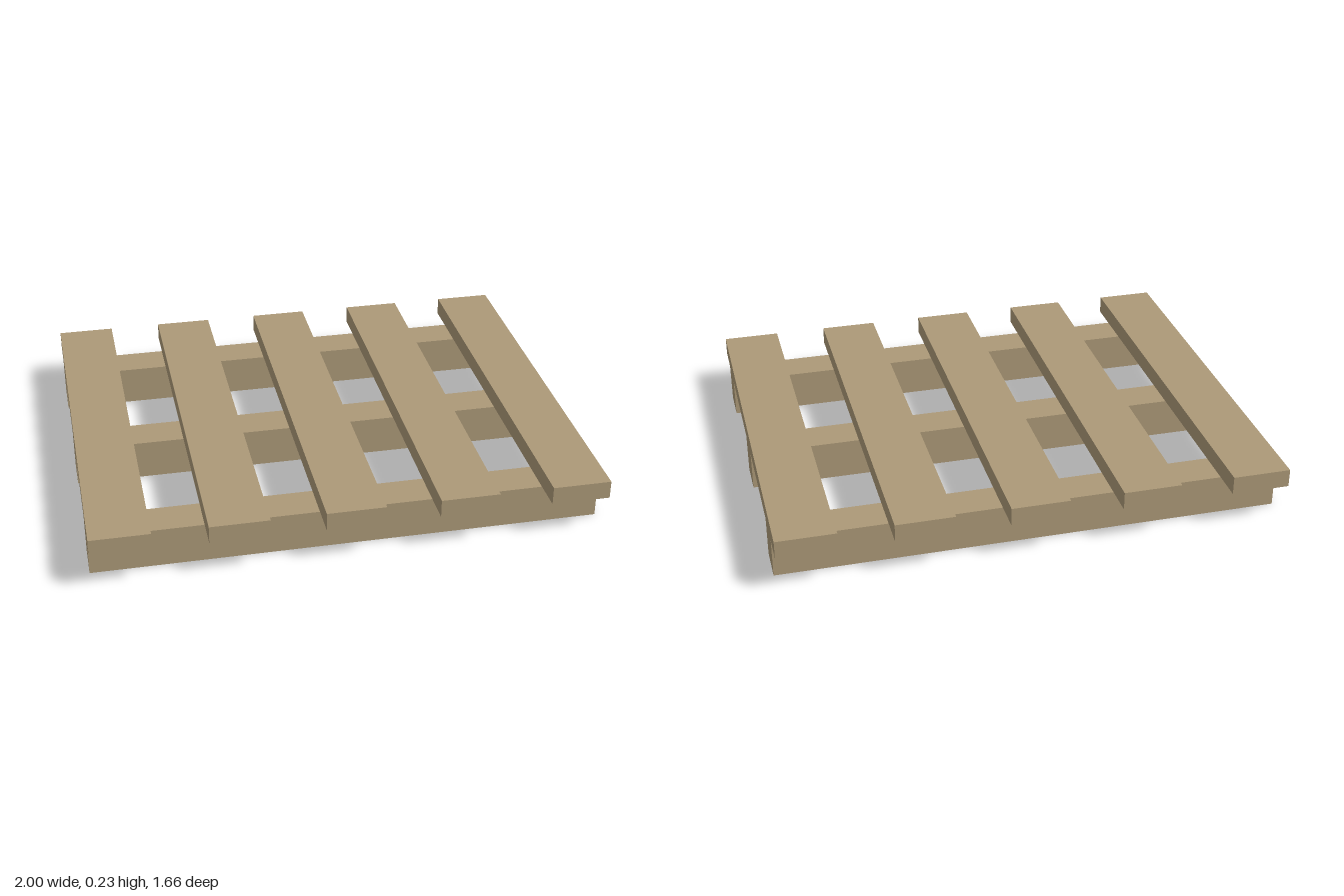
import * as THREE from 'three';

export function createModel() {
  const model = new THREE.Group();
  model.name = 'pallet';
  const wood = new THREE.MeshStandardMaterial({ color: 0xac9978 });
  wood.name = 'wood';

  // A plank given by its size, centre and the height of its underside
  const plank = (name, w, h, d, x, bottom, z) => {
    const mesh = new THREE.Mesh(new THREE.BoxGeometry(w, h, d), wood);
    mesh.name = name;
    mesh.position.set(x, bottom + h / 2, z);
    model.add(mesh);
  };

  const beamHeight = 0.16;

  // Three bearers running side to side
  for (const i of [-1, 0, 1]) {
    plank(`bearer${i + 2}`, 2, beamHeight, 0.148, 0, 0, i * 0.632);
  }

  // Five evenly spaced deck slats running front to back
  for (let i = -2; i <= 2; i++) {
    plank(`deckSlat${i + 3}`, 0.231, 0.073, 1.662, i * 0.44225, beamHeight, 0);
  }

  return model;
}
